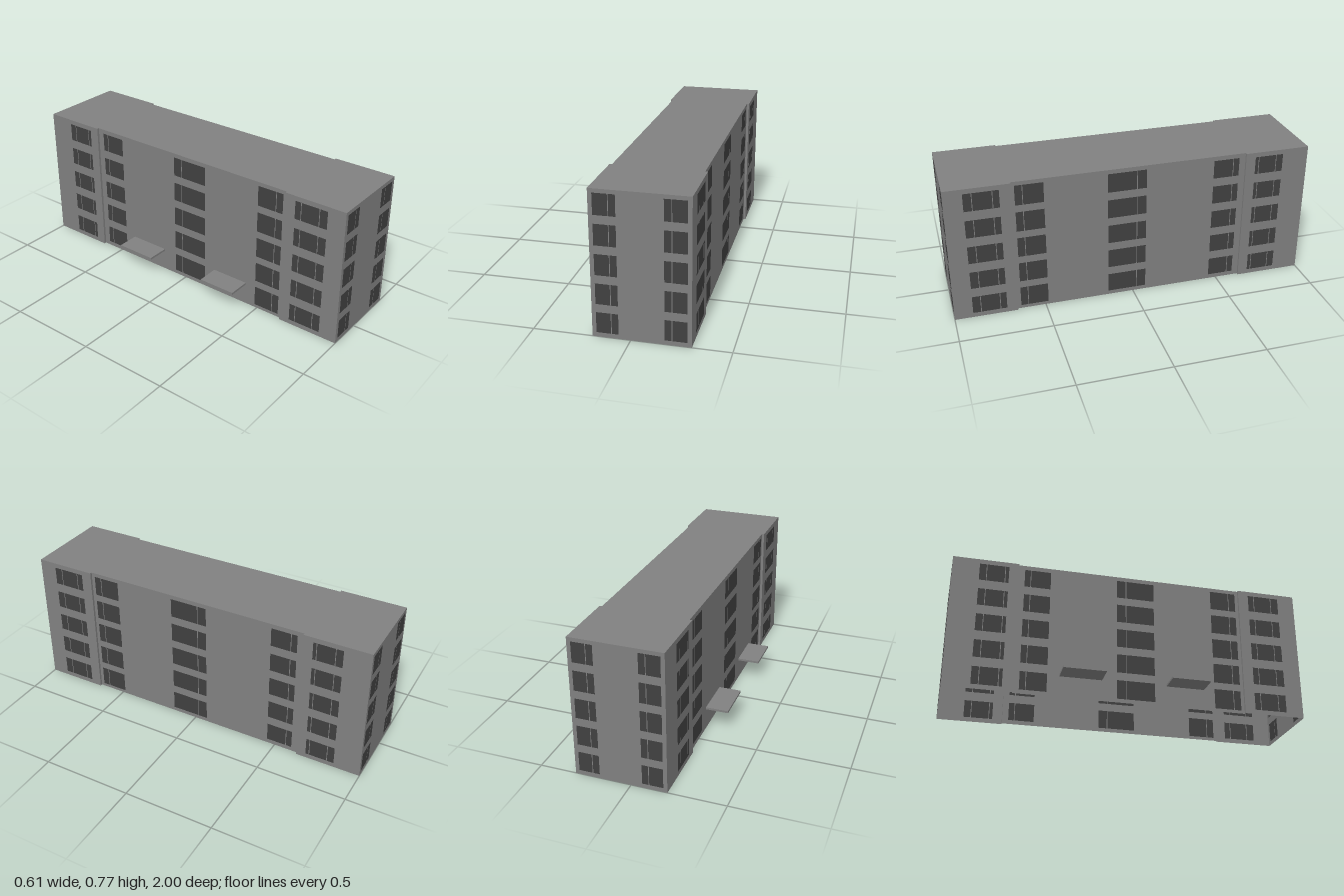
import * as THREE from 'three';
import { mergeGeometries } from 'three/addons/utils/BufferGeometryUtils.js';

const HEIGHT = 0.77, FLOORS = 5, STOREY = 0.154, BAR = 0.004;
const END_FRONT = 0.655, END_BACK = -0.635; // where the end blocks meet the middle
const wallMat = new THREE.MeshStandardMaterial({ color: 0x808080, side: THREE.DoubleSide });
const glassMat = new THREE.MeshStandardMaterial({ color: 0x404040, side: THREE.DoubleSide });

// Window columns: edges (with dividers) along the wall, sill and head of the ground floor
const gableCols = [
  { edges: [-0.172, -0.096, -0.06], y: [0.023, 0.133] },
  { edges: [0.169, 0.206, 0.281], y: [0.023, 0.133] },
];
const frontEndCols = [{ edges: [0.715, 0.75, 0.855, 0.9], y: [0.026, 0.127] }];
const backEndCols = [{ edges: [-0.852, -0.812, -0.71, -0.69], y: [0.026, 0.127] }];
const middleCols = [
  { edges: [0.484, 0.595, 0.636], y: [0.018, 0.132] },
  { edges: [-0.073, -0.021, 0.141], y: [0.022, 0.13] },
  { edges: [-0.6, -0.566, -0.454], y: [0.024, 0.129] },
];
const canopies = [[-0.388, -0.155], [0.207, 0.422]];
const CANOPY_Y = [0.12, 0.132];

function rect(Kind, u0, u1, y0, y1) {
  const [a, b] = [Math.min(u0, u1), Math.max(u0, u1)];
  return new Kind().setFromPoints(
    [[a, y0], [b, y0], [b, y1], [a, y1]].map(([x, y]) => new THREE.Vector2(x, y)));
}

// Wall sheet with window openings and panes; sign maps world x or z to the wall's own axis
function wall(name, { from, to, dist, angle, sign, cols = [], slots = [] }) {
  const group = new THREE.Group();
  group.name = name;
  const sheet = rect(THREE.Shape, sign * from, sign * to, 0, HEIGHT);
  const panes = [];
  for (const { edges, y } of cols) {
    for (let f = 0; f < FLOORS; f++) {
      for (let i = 0; i < edges.length - 1; i++) {
        const a = sign * (edges[i] + (i > 0 ? BAR / 2 : 0));
        const b = sign * (edges[i + 1] - (i < edges.length - 2 ? BAR / 2 : 0));
        const box = [a, b, y[0] + f * STOREY, y[1] + f * STOREY];
        sheet.holes.push(rect(THREE.Path, ...box));
        panes.push(new THREE.ShapeGeometry(rect(THREE.Shape, ...box)));
      }
    }
  }
  for (const [a, b] of slots) sheet.holes.push(rect(THREE.Path, sign * a, sign * b, ...CANOPY_Y));
  const sheetMesh = new THREE.Mesh(new THREE.ShapeGeometry(sheet), wallMat);
  sheetMesh.name = name + 'Sheet';
  group.add(sheetMesh);
  if (panes.length) {
    const glass = new THREE.Mesh(mergeGeometries(panes), glassMat);
    glass.name = name + 'Windows';
    group.add(glass);
  }
  group.rotation.y = angle;
  group.position.set(Math.sin(angle) * dist, 0, Math.cos(angle) * dist);
  return group;
}

export function createModel() {
  const model = new THREE.Group();
  model.name = 'apartmentBlock';

  // Gable walls
  const gable = { from: -0.193, to: 0.302, dist: 1, cols: gableCols };
  model.add(wall('frontWall', { ...gable, angle: 0, sign: 1 }));
  model.add(wall('backWall', { ...gable, angle: Math.PI, sign: -1 }));

  // Long sides: a set-back middle between two end blocks
  for (const side of [1, -1]) {
    const label = side > 0 ? 'left' : 'right';
    const outer = side > 0 ? 0.302 : 0.193;
    const inner = side > 0 ? 0.289 : 0.18;
    const common = { angle: side * Math.PI / 2, sign: -side };
    model.add(wall(label + 'FrontBlockWall',
      { ...common, from: END_FRONT, to: 1, dist: outer, cols: frontEndCols }));
    model.add(wall(label + 'BackBlockWall',
      { ...common, from: -1, to: END_BACK, dist: outer, cols: backEndCols }));
    model.add(wall(label + 'MiddleWall', {
      ...common, from: END_BACK, to: END_FRONT, dist: inner, cols: middleCols,
      slots: side < 0 ? canopies : [],
    }));
    // Narrow returns at the steps
    const step = { from: side * inner, to: side * outer };
    model.add(wall(label + 'FrontStep', { ...step, dist: -END_FRONT, angle: Math.PI, sign: -1 }));
    model.add(wall(label + 'BackStep', { ...step, dist: END_BACK, angle: 0, sign: 1 }));
  }

  // Flat roof following the stepped plan (shape y is -z)
  const half = [[0.302, 1], [0.302, END_FRONT], [0.289, END_FRONT],
    [0.289, END_BACK], [0.302, END_BACK], [0.302, -1]];
  const other = [[-0.193, -1], [-0.193, END_BACK], [-0.18, END_BACK],
    [-0.18, END_FRONT], [-0.193, END_FRONT], [-0.193, 1]];
  const plan = new THREE.Shape([...half, ...other].map(([x, z]) => new THREE.Vector2(x, -z)));
  const roof = new THREE.Mesh(new THREE.ShapeGeometry(plan).rotateX(-Math.PI / 2), wallMat);
  roof.name = 'roof';
  roof.position.y = HEIGHT;
  model.add(roof);

  // Entrance canopies, hollow and open towards the inside
  for (const [z0, z1] of canopies) {
    const geo = new THREE.BoxGeometry(0.125, CANOPY_Y[1] - CANOPY_Y[0], z1 - z0);
    geo.setIndex(Array.from(geo.index.array).slice(6));
    geo.clearGroups();
    const canopy = new THREE.Mesh(geo, wallMat);
    canopy.name = 'entranceCanopy';
    canopy.position.set(-0.2425, (CANOPY_Y[0] + CANOPY_Y[1]) / 2, (z0 + z1) / 2);
    model.add(canopy);
  }
  return model;
}
